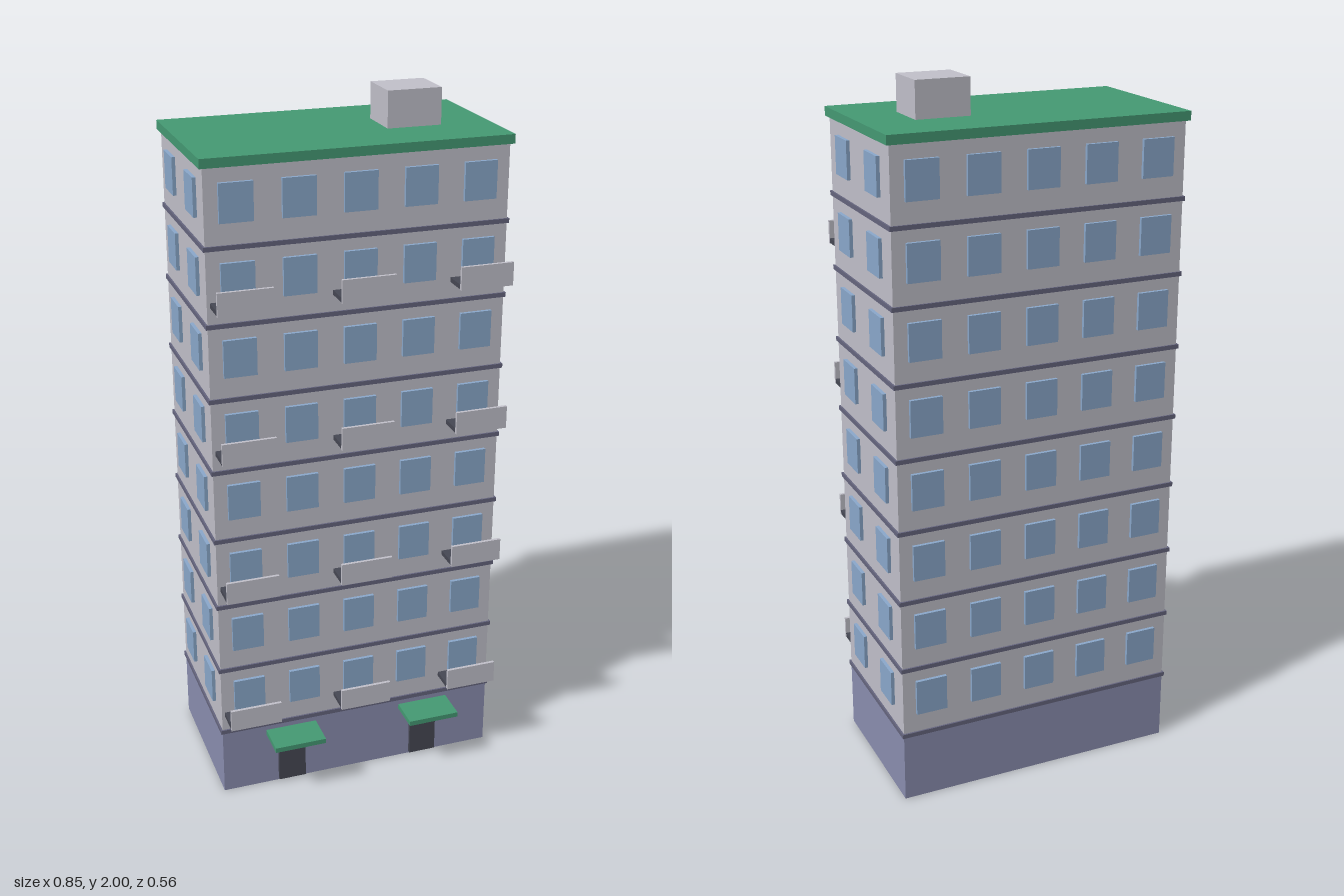
import * as THREE from 'three';

const mat = (name, color) => {
  const m = new THREE.MeshStandardMaterial({ color });
  m.name = name;
  return m;
};

export function createModel() {
  const wall = mat('wall grey', 0xc2c1cb);
  const plinth = mat('plinth blue', 0x8b8eb0);
  const trim = mat('trim purple', 0x66667f);
  const glass = mat('window blue', 0x8ba9cc);
  const green = mat('roof green', 0x459a74);
  const dark = mat('dark slate', 0x464854);

  const model = new THREE.Group();
  model.name = 'apartmentBlock';

  // box given by its extents on each axis
  const box = (parent, name, material, [x0, x1], [y0, y1], [z0, z1]) => {
    const mesh = new THREE.Mesh(new THREE.BoxGeometry(x1 - x0, y1 - y0, z1 - z0), material);
    mesh.position.set((x0 + x1) / 2, (y0 + y1) / 2, (z0 + z1) / 2);
    mesh.name = name;
    parent.add(mesh);
  };
  const around = (c, size) => [c - size / 2, c + size / 2];
  const group = (name) => {
    const g = new THREE.Group();
    g.name = name;
    model.add(g);
    return g;
  };

  const F = 0.2083;                  // storey height
  const W = 0.4165;                  // half width
  const front = 0.181, back = -0.27; // wall planes
  const mid = (front + back) / 2;
  const P = 0.0098;                  // window plate thickness

  // main volumes
  box(model, 'groundFloor', plinth, [-W, W], [0, F], [back, front]);
  box(model, 'tower', wall, [-W, W], [F, 9 * F], [back, front]);
  box(model, 'roofSlab', green, [-0.426, 0.426], [9 * F, 1.9], [-0.28, 0.191]);
  box(model, 'roofHut', wall, [0.131, 0.284], [1.9, 2], [-0.111, 0.024]);

  const bands = group('floorBands');
  const windows = group('windows');
  const balconies = group('balconies');
  for (let i = 1; i <= 8; i++) {
    const y = i * F;
    box(bands, 'floorBand', trim, [-W - 0.005, W + 0.005], around(y, 0.0125), [back - 0.005, front + 0.005]);

    // windows on all four walls
    const wy = [y + 0.065, y + 0.169];
    for (let k = -2; k <= 2; k++) {
      const wx = around(k * 0.1667, 0.091);
      box(windows, 'frontWindow', glass, wx, wy, [front, front + P]);
      box(windows, 'backWindow', glass, wx, wy, [back - P, back]);
    }
    for (const s of [-1, 1]) {
      const wz = around(mid + s * 0.1127, 0.09);
      box(windows, 'leftWindow', glass, [W, W + P], wy, wz);
      box(windows, 'rightWindow', glass, [-W - P, -W], wy, wz);
    }

    // balconies on every other storey
    if (i % 2) {
      for (const x of [-0.333, 0, 0.333]) {
        const bx = around(x, 0.15);
        box(balconies, 'balconyFloor', dark, bx, [y + 0.052, y + 0.065], [front, 0.248]);
        box(balconies, 'balconyPanel', wall, bx, [y + 0.05, y + 0.115], [0.248, 0.257]);
      }
    }
  }

  // two entrances with canopies
  const entrances = group('entrances');
  for (const x of [-0.208, 0.208]) {
    box(entrances, 'door', dark, around(x, 0.082), [0.006, 0.164], [front, front + P]);
    box(entrances, 'canopy', green, around(x, 0.153), [0.17, 0.185], [front, 0.279]);
  }

  return model;
}
